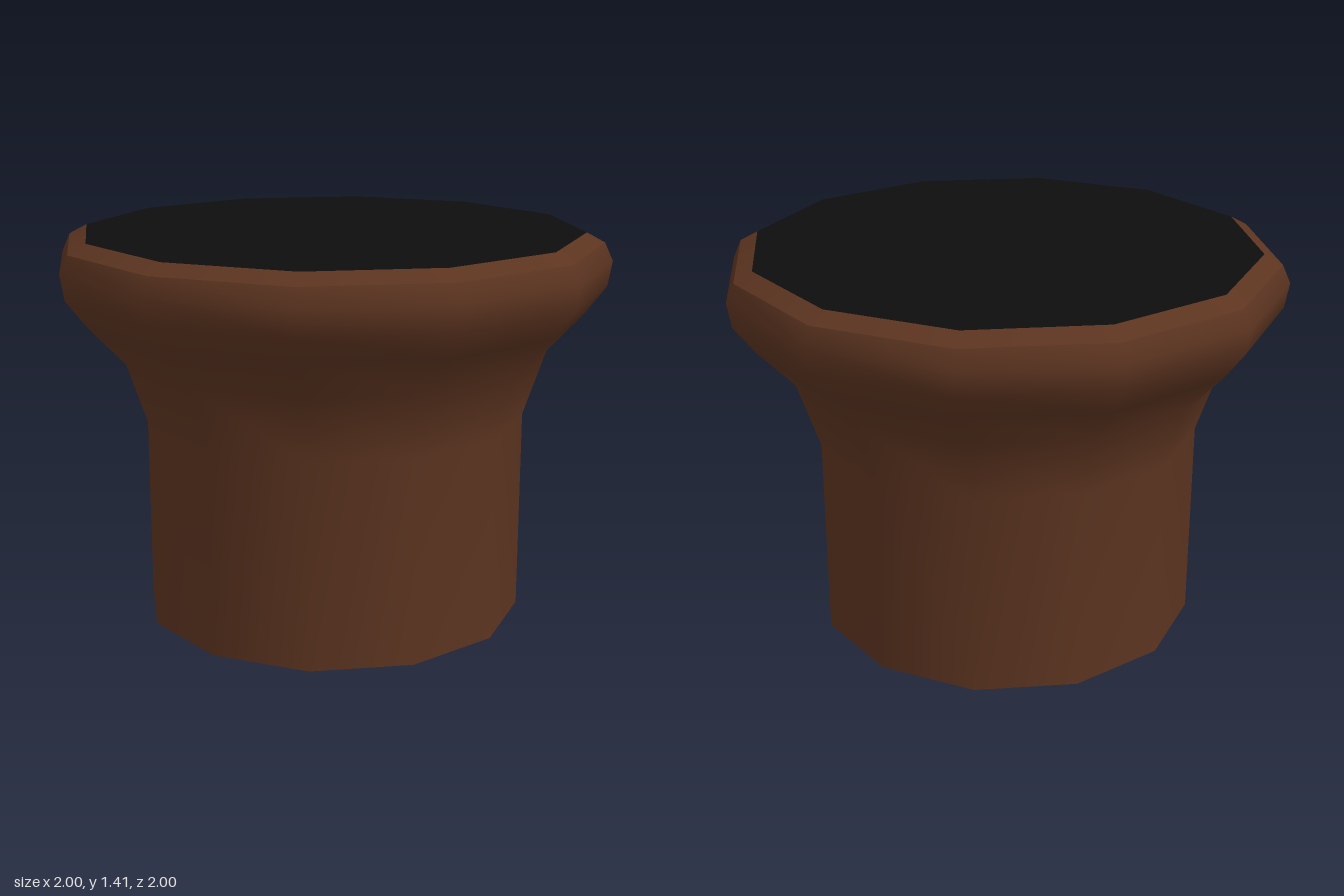
import * as THREE from 'three';

const SIDES = 12;

export function createModel() {
  const group = new THREE.Group();
  const wood = new THREE.MeshStandardMaterial({ color: 0x5c3420 });
  const black = new THREE.MeshStandardMaterial({ color: 0x0d0d0d });

  const add = (name, geometry, material) => {
    const mesh = new THREE.Mesh(geometry, material);
    mesh.name = name;
    group.add(mesh);
    return mesh;
  };
  const lathe = (points) =>
    new THREE.LatheGeometry(points.map(([r, y]) => new THREE.Vector2(r, y)), SIDES);
  const disc = (radius, y, facing) =>
    new THREE.CircleGeometry(radius, SIDES).rotateX(-facing * Math.PI / 2).translate(0, y, 0);

  // Straight stem flaring out into the rounded head
  add('body', lathe([
    [0.70, 0], [0.70, 0.74], [0.78, 0.98], [0.91, 1.12],
    [0.985, 1.22], [1.0, 1.31], [0.97, 1.375],
  ]), wood);

  // Bevel around the top, with a crisp lower edge
  add('rim', lathe([[0.97, 1.375], [0.905, 1.41]]), wood);

  // Flat closing faces
  add('topPanel', disc(0.905, 1.41, 1), black);
  add('base', disc(0.70, 0, -1), wood);

  return group;
}
